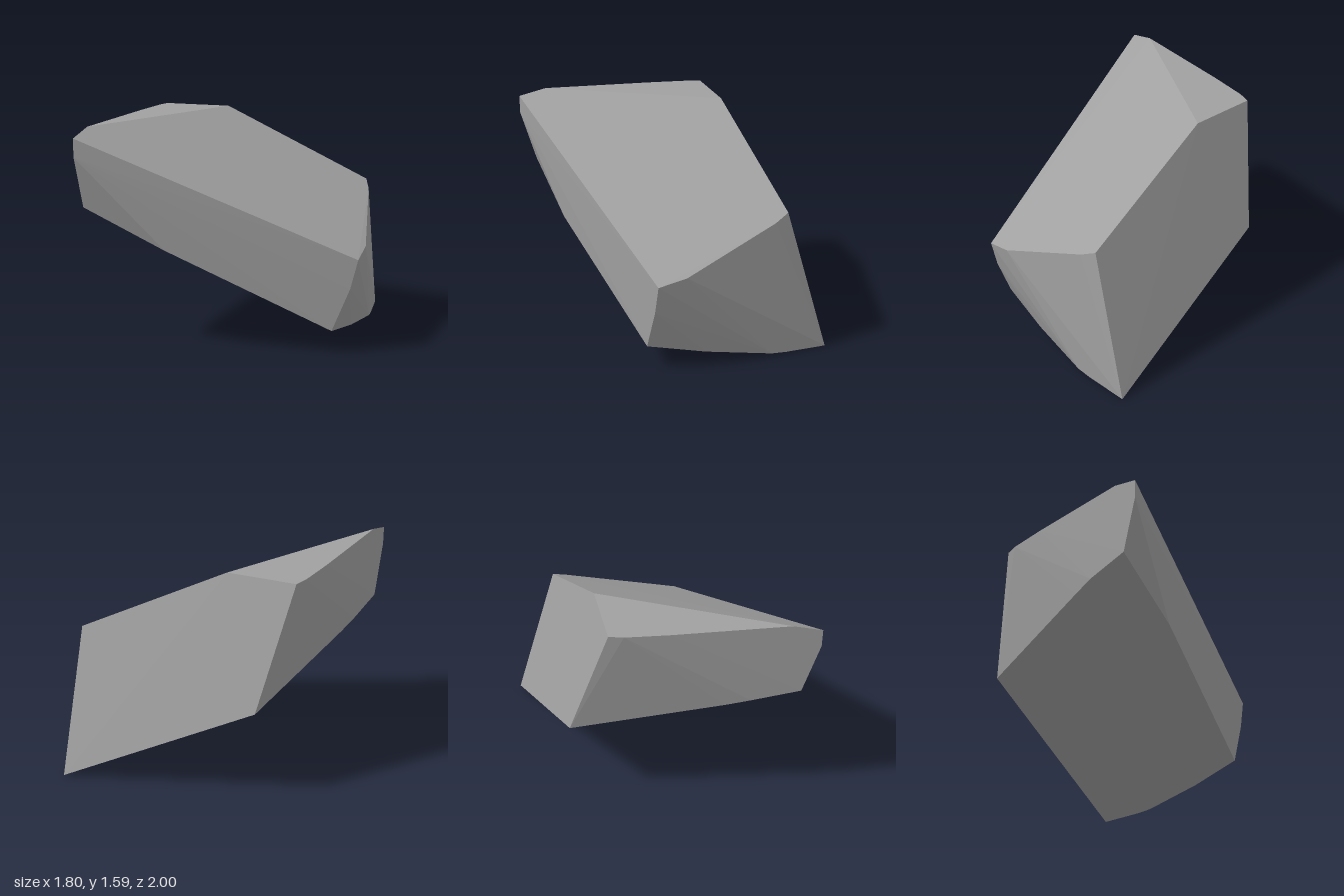
import * as THREE from 'three';
import { ConvexGeometry } from 'three/addons/geometries/ConvexGeometry.js';

// A single angular rock: the convex hull of its corner points
export function createModel() {
  const stone = new THREE.MeshStandardMaterial({ color: 0xa0a0a0, flatShading: true });
  stone.name = 'grey stone';

  const corners = [
    // front face, clockwise from its upper left
    [-0.9, 1.54, 1.0], [0.9, 0.69, 0.27], [0.85, 0.48, 0.285], [0.73, 0.17, 0.32],
    [-0.35, 0.75, 0.75], [-0.9, 1.41, 1.0],
    // flat top facet
    [-0.9, 1.59, 0.8], [-0.9, 1.59, 0.0], [-0.89, 1.59, -0.3], [-0.87, 1.59, -0.4], [-0.38, 1.59, -0.45],
    // upper edge of the +x end
    [0.89, 0.74, 0.07], [0.7, 1.01, -0.59], [0.65, 1.06, -0.69],
    // lower edge of the +x end
    [0.74, 0.09, -0.1], [0.73, 0.02, -0.58], [0.71, 0.01, -0.69], [0.65, 0, -1.0],
    // lower edge of the -x end
    [-0.9, 1.04, 0.89], [-0.89, 0.98, 0.55], [-0.87, 0.94, 0.38], [-0.72, 0.71, -0.67],
  ].map((p) => new THREE.Vector3(...p));

  const rock = new THREE.Mesh(new ConvexGeometry(corners), stone);
  rock.name = 'rock';

  const model = new THREE.Group();
  model.name = 'angular rock';
  model.add(rock);
  return model;
}
